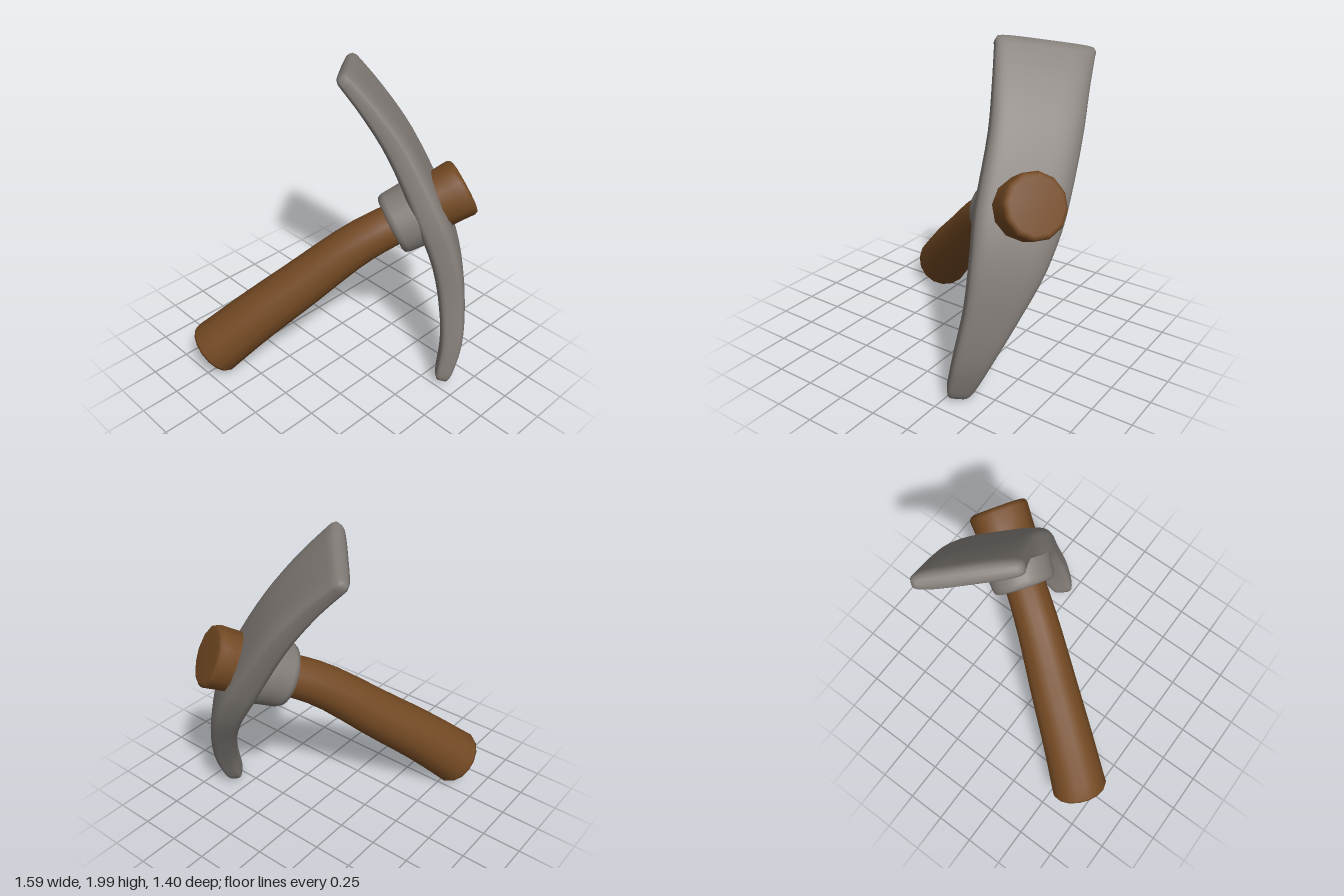
import * as THREE from 'three';

const metal = new THREE.MeshStandardMaterial({ color: 0x827c77 });
metal.name = 'grey metal';
const wood = new THREE.MeshStandardMaterial({ color: 0x734923 });
wood.name = 'brown wood';

// direction across the head, from its narrow side to its broad side
const across = new THREE.Vector3(0.75, -0.15, -0.645).normalize();

// Sweeps a rounded section along stations [x, y, z, halfWidth, halfThickness]
// and closes both ends with a bevel. A higher power makes a boxier section.
function sweep(name, material, stations, { steps, sides, power = 2, bevel = 0.03, skew = false }) {
  const path = new THREE.CatmullRomCurve3(stations.map(s => new THREE.Vector3(s[0], s[1], s[2])));
  const size = new THREE.CatmullRomCurve3(stations.map(s => new THREE.Vector3(s[3], s[4], 0)));

  // rings: position on the path, shift along it, inset of the section
  const end = [[0, 1e3], [0, bevel], [0.3 * bevel, 0.3 * bevel], [bevel, 0]];
  const rings = end.map(([shift, inset]) => [0, shift, inset]);
  for (let i = 1; i < steps; i++) rings.push([i / steps, 0, 0]);
  for (const [shift, inset] of [...end].reverse()) rings.push([1, -shift, inset]);

  const positions = [], index = [];
  const round = v => Math.sign(v) * Math.abs(v) ** (2 / power);
  rings.forEach(([t, shift, inset], i) => {
    const T = path.getTangent(t);
    const centre = path.getPoint(t).addScaledVector(T, shift);
    const W = across.clone();
    if (!skew) W.addScaledVector(T, -W.dot(T)).normalize();
    const N = W.clone().cross(T).normalize();
    const half = size.getPoint(t);
    const hw = Math.max(half.x - inset, 0), ht = Math.max(half.y - inset, 0);
    for (let j = 0; j < sides; j++) {
      const a = (j / sides) * Math.PI * 2;
      const p = centre.clone()
        .addScaledVector(W, hw * round(Math.cos(a)))
        .addScaledVector(N, ht * round(Math.sin(a)));
      positions.push(p.x, p.y, p.z);
      if (i < rings.length - 1) {
        const k = i * sides + j, l = i * sides + (j + 1) % sides;
        index.push(k, k + sides, l, l, k + sides, l + sides);
      }
    }
  });
  const geometry = new THREE.BufferGeometry();
  geometry.setAttribute('position', new THREE.Float32BufferAttribute(positions, 3));
  geometry.setIndex(index);
  geometry.computeVertexNormals();
  const mesh = new THREE.Mesh(geometry, material);
  mesh.name = name;
  return mesh;
}

export function createModel() {
  const group = new THREE.Group();
  group.name = 'pickaxe';

  // curved head: narrow pick at the bottom, broad blade at the top
  group.add(sweep('head', metal, [
    [0.315, 0.04, 0.62, 0.07, 0.05],
    [0.405, 0.30, 0.60, 0.11, 0.07],
    [0.48, 0.60, 0.51, 0.16, 0.085],
    [0.512, 0.85, 0.41, 0.215, 0.095],
    [0.50, 1.11, 0.278, 0.255, 0.1],
    [0.45, 1.50, 0.05, 0.265, 0.085],
    [0.375, 1.75, -0.125, 0.28, 0.07],
    [0.30, 1.945, -0.29, 0.30, 0.055],
  ], { steps: 28, sides: 40, power: 4, bevel: 0.035, skew: true }));

  // collar where the handle enters the head
  group.add(sweep('collar', metal, [
    [0.285, 1.02, 0.145, 0.2, 0.2],
    [0.46, 1.12, 0.26, 0.215, 0.215],
  ], { steps: 3, sides: 24 }));

  // tapered, slightly bent handle
  group.add(sweep('handle', wood, [
    [-0.665, 0.14, -0.545, 0.185, 0.185],
    [-0.44, 0.38, -0.375, 0.17, 0.17],
    [-0.2, 0.61, -0.2, 0.157, 0.157],
    [0.1, 0.9, 0.02, 0.138, 0.138],
    [0.29, 1.025, 0.15, 0.13, 0.13],
    [0.5, 1.14, 0.275, 0.13, 0.13],
  ], { steps: 14, sides: 16 }));

  // thick handle end standing out in front of the head
  group.add(sweep('handleKnob', wood, [
    [0.5, 1.145, 0.278, 0.18, 0.18],
    [0.68, 1.25, 0.39, 0.19, 0.19],
  ], { steps: 3, sides: 12 }));

  return group;
}
